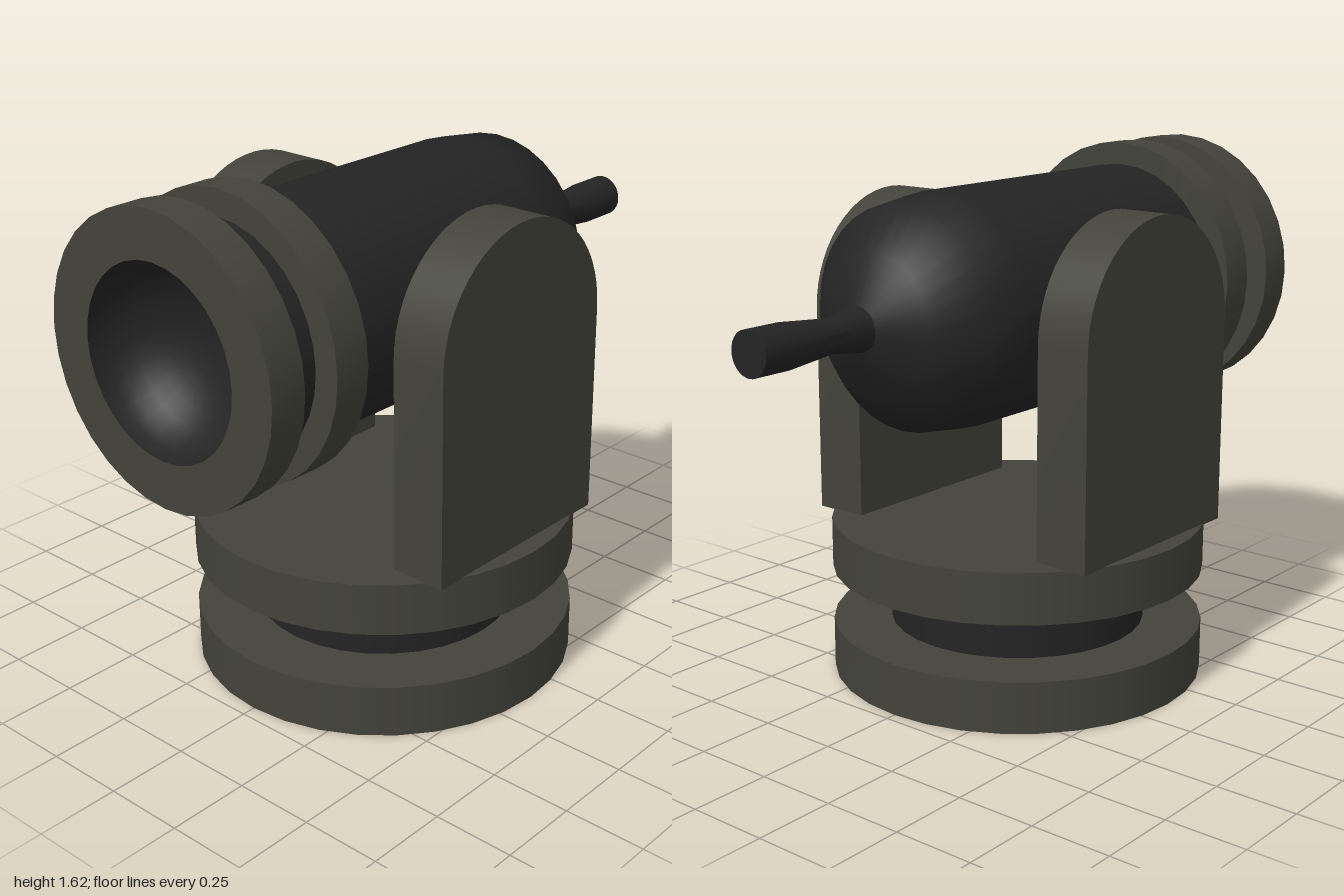
import * as THREE from 'three';
import { toCreasedNormals } from 'three/addons/utils/BufferGeometryUtils.js';

const SIDES = 32;
const AXIS_Y = 1.2; // height of the barrel axis
const BASE_Z = 0.12; // centre of the turntable and arms

export function createModel() {
  const group = new THREE.Group();
  const olive = new THREE.MeshStandardMaterial({ color: 0x43433b });
  olive.name = 'olive metal';
  const dark = new THREE.MeshStandardMaterial({ color: 0x242424 });
  dark.name = 'dark metal';

  const add = (name, geometry, material, x, y, z) => {
    const mesh = new THREE.Mesh(geometry, material);
    mesh.name = name;
    mesh.position.set(x, y, z);
    group.add(mesh);
    return mesh;
  };

  // Turned part along z; profile is [radius, z] from back to front
  const turned = (name, profile, material, crease = 0.8) => {
    const points = profile.map(([r, z]) => new THREE.Vector2(r, z));
    const geometry = new THREE.LatheGeometry(points, SIDES).rotateX(Math.PI / 2);
    return add(name, toCreasedNormals(geometry, crease), material, 0, AXIS_Y, 0);
  };

  // Turntable: two discs joined by a narrower dark neck
  const disc = (name, radius, y0, y1, material) =>
    add(name, new THREE.CylinderGeometry(radius, radius, y1 - y0, SIDES), material, 0, (y0 + y1) / 2, BASE_Z);
  disc('lowerBaseDisc', 0.588, 0, 0.162, olive);
  disc('baseNeck', 0.403, 0.162, 0.338, dark);
  disc('upperBaseDisc', 0.588, 0.338, 0.498, olive);

  // Round-topped support arms, left and right
  const arch = new THREE.Shape();
  arch.moveTo(-0.35, 0.495);
  arch.lineTo(0.35, 0.495);
  arch.lineTo(0.35, 1.14);
  arch.absarc(0, 1.14, 0.35, 0, Math.PI, false);
  arch.lineTo(-0.35, 0.495);
  const armGeometry = toCreasedNormals(
    new THREE.ExtrudeGeometry(arch, { depth: 0.175, bevelEnabled: false, curveSegments: 14 })
      .translate(0, 0, -0.0875).rotateY(Math.PI / 2), 0.6);
  for (const [name, side] of [['leftArm', 1], ['rightArm', -1]]) {
    add(name, armGeometry, olive, side * 0.439, 0, BASE_Z);
  }

  // Barrel with domed back and waisted tail rod
  turned('barrel', [
    [0, -1], [0.066, -1], [0.066, -0.88], [0.05, -0.71], [0.066, -0.59],
    [0.21, -0.53], [0.33, -0.41], [0.352, -0.24], [0.352, 0.65],
    [0.345, 0.76], [0.345, 0.95],
  ], dark);

  // Raised rings around the muzzle
  turned('rearRing', [[0.34, 0.648], [0.422, 0.648], [0.422, 0.765], [0.34, 0.765]], olive);
  turned('frontRing', [[0.34, 0.883], [0.422, 0.883], [0.422, 1], [0.28, 1]], olive);

  // Concave muzzle opening
  const bowl = [];
  for (let i = 0; i <= 8; i++) {
    const a = (i / 8) * Math.PI / 2;
    bowl.push([0.28 * Math.cos(a), 1 - 0.22 * Math.sin(a)]);
  }
  turned('muzzleBowl', bowl, dark, 1.2);

  return group;
}
